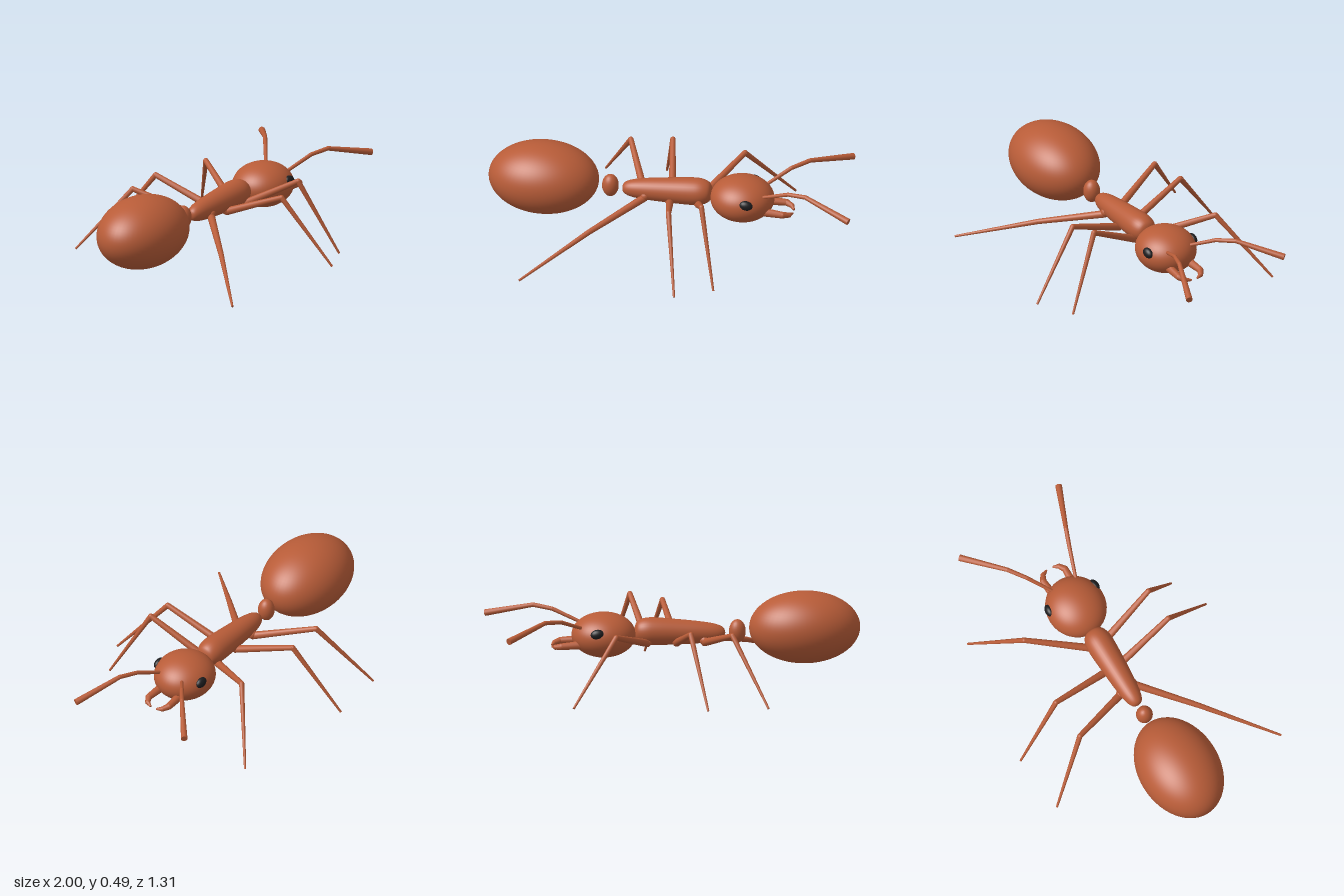
import * as THREE from 'three';

const V = (p) => new THREE.Vector3(...p);

export function createModel() {
  const ant = new THREE.Group();
  ant.name = 'ant';
  const shell = new THREE.MeshStandardMaterial({ color: 0xb85c38 });
  shell.name = 'rust shell';
  const black = new THREE.MeshStandardMaterial({ color: 0x1c1c1e });
  black.name = 'eye black';

  function add(parent, name, geometry, material = shell) {
    const mesh = new THREE.Mesh(geometry, material);
    mesh.name = name;
    parent.add(mesh);
    return mesh;
  }

  function ellipsoid(name, center, radii, material = shell, seg = 40) {
    const mesh = add(ant, name, new THREE.SphereGeometry(1, seg, Math.round(seg * 0.7)), material);
    mesh.position.set(...center);
    mesh.scale.set(...radii);
    return mesh;
  }

  // Chain of tapered rods with round joints
  function limb(name, points, radii) {
    const group = new THREE.Group();
    group.name = name;
    for (let i = 0; i < points.length - 1; i++) {
      const a = V(points[i]), b = V(points[i + 1]);
      const dir = b.clone().sub(a);
      const rod = add(group, 'segment', new THREE.CylinderGeometry(radii[i + 1], radii[i], dir.length(), 12));
      rod.position.copy(a).add(b).multiplyScalar(0.5);
      rod.quaternion.setFromUnitVectors(new THREE.Vector3(0, 1, 0), dir.normalize());
      if (i > 0) {
        add(group, 'joint', new THREE.SphereGeometry(radii[i], 12, 8)).position.copy(a);
      }
    }
    ant.add(group);
  }

  // Body
  ellipsoid('abdomen', [-0.703, 0.297, 0], [0.297, 0.193, 0.218], shell, 56);
  ellipsoid('waist', [-0.343, 0.28, 0], [0.045, 0.064, 0.045], shell, 24);
  ellipsoid('head', [0.372, 0.272, 0], [0.172, 0.12, 0.162], shell, 48);

  // Thorax, a tapered spindle lying along x
  const profile = new THREE.SplineCurve([
    [0, -0.279], [0.028, -0.268], [0.047, -0.225], [0.059, -0.14], [0.068, -0.02],
    [0.074, 0.09], [0.071, 0.15], [0.054, 0.19], [0.028, 0.205], [0, 0.208],
  ].map(([r, x]) => new THREE.Vector2(r, x))).getPoints(40);
  profile.forEach((p) => { p.x = Math.max(p.x, 0); });
  const thorax = add(ant, 'thorax', new THREE.LatheGeometry(profile, 32));
  thorax.rotation.z = -Math.PI / 2 + 0.04;
  thorax.position.y = 0.282;

  // Eyes and mandibles
  for (const s of [1, -1]) {
    const eye = ellipsoid(s > 0 ? 'leftEye' : 'rightEye', [0.415, 0.309, s * 0.143], [0.036, 0.026, 0.02], black, 20);
    eye.rotation.set(-s * 0.3, s * 0.1, -0.15);
    limb(s > 0 ? 'leftMandible' : 'rightMandible', [
      [0.49, 0.232, s * 0.062], [0.6, 0.226, s * 0.068], [0.632, 0.219, s * 0.05], [0.648, 0.214, s * 0.018],
    ], [0.024, 0.018, 0.014, 0.005]);
  }

  // Antennae, thicker toward the tips
  const feelerRadii = [0.009, 0.011, 0.012, 0.018];
  limb('leftAntenna', [[0.49, 0.325, 0.07], [0.64, 0.388, 0.12], [0.74, 0.402, 0.157], [0.99, 0.335, 0.26]], feelerRadii);
  limb('rightAntenna', [[0.49, 0.325, -0.07], [0.61, 0.385, -0.162], [0.7, 0.4, -0.232], [0.905, 0.345, -0.405]], feelerRadii);

  // Legs in mid-stride: hip, knee, foot
  const legs = {
    leftFrontLeg: [[0.14, 0.23, 0.04], [0.21, 0.403, 0.353], [0.308, 0.01, 0.553]],
    leftMiddleLeg: [[-0.015, 0.23, 0.04], [0.035, 0.362, 0.373], [0.112, 0.01, 0.652]],
    leftRearLeg: [[-0.15, 0.245, 0.04], [-0.41, 0.155, 0.3], [-0.733, 0.01, 0.617]],
    rightFrontLeg: [[0.14, 0.23, -0.04], [0.327, 0.343, -0.348], [0.567, 0.01, -0.555]],
    rightMiddleLeg: [[-0.015, 0.23, -0.04], [-0.07, 0.364, -0.387], [-0.147, 0.01, -0.652]],
    rightRearLeg: [[-0.165, 0.23, -0.04], [-0.295, 0.35, -0.372], [-0.472, 0.01, -0.62]],
  };
  for (const [name, points] of Object.entries(legs)) {
    limb(name, points, [0.021, 0.0145, 0.006]);
    const hip = ellipsoid(name + 'Hip', points[0], [0.026, 0.026, 0.026], shell, 16);
    hip.position.y += 0.01;
  }

  return ant;
}
